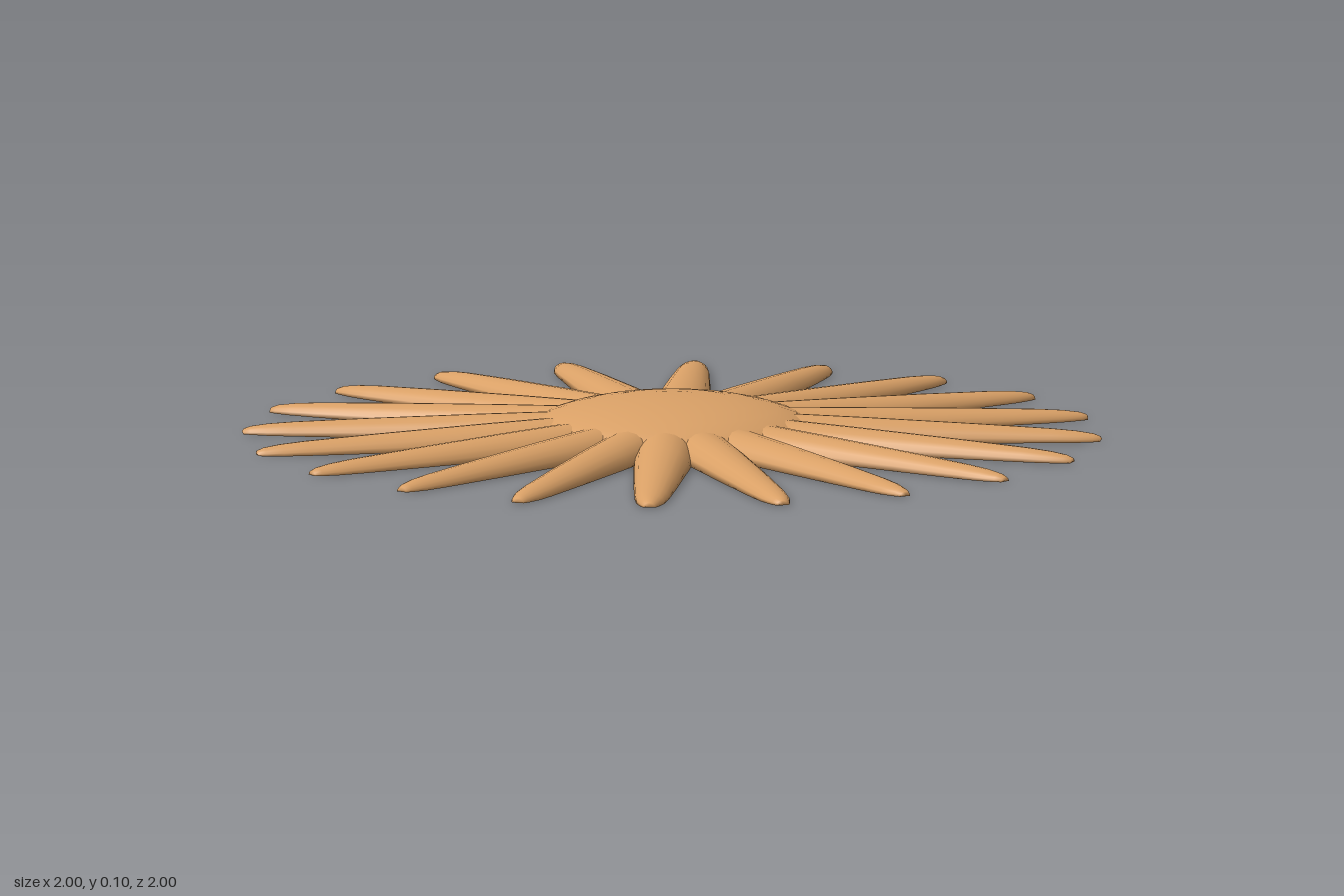
import * as THREE from 'three';

const PETALS = 20;
const ARC = 10; // segments over the rounded top of a petal

// Tapered petal along +z: rounded top, flat underside, blunt rounded tip
function petalGeometry() {
  // [distance from centre, half width, height]
  const rings = [
    [0.26, 0.072, 0.059], [0.45, 0.066, 0.051], [0.7, 0.052, 0.039], [0.88, 0.04, 0.029],
    [0.94, 0.033, 0.024], [0.98, 0.022, 0.018], [0.996, 0.014, 0.012],
  ];
  const base = 0.001;
  const positions = [];
  const index = [];
  const n = ARC + 2; // arc points plus one point under the middle
  for (const [z, w, h] of rings) {
    for (let i = 0; i <= ARC; i++) {
      const a = (i / ARC) * Math.PI;
      positions.push(Math.cos(a) * w, base + Math.sin(a) * (h - base), z);
    }
    positions.push(0, base, z);
  }
  for (let r = 0; r < rings.length - 1; r++) {
    for (let j = 0; j < n; j++) {
      const k = (j + 1) % n;
      const a = r * n + j, b = r * n + k, c = a + n, d = b + n;
      index.push(a, b, c, b, d, c);
    }
  }
  // close the tip
  const tip = positions.length / 3;
  const last = (rings.length - 1) * n;
  positions.push(0, 0.006, 1);
  for (let j = 0; j < n; j++) index.push(tip, last + j, last + ((j + 1) % n));

  const geometry = new THREE.BufferGeometry();
  geometry.setAttribute('position', new THREE.Float32BufferAttribute(positions, 3));
  geometry.setIndex(index);
  geometry.computeVertexNormals();
  return geometry;
}

export function createModel() {
  const model = new THREE.Group();
  model.name = 'flowerOrnament';
  const tan = new THREE.MeshStandardMaterial({ color: 0xd9a066 });
  tan.name = 'tan';

  // Flattened dome in the middle
  const domeGeometry = new THREE.SphereGeometry(0.35, 32, 8, 0, Math.PI * 2, 0, Math.PI / 2);
  domeGeometry.scale(1, 0.1 / 0.35, 1);
  const dome = new THREE.Mesh(domeGeometry, tan);
  dome.name = 'centreDome';
  model.add(dome);

  // Flat underside of the dome
  const underside = new THREE.Mesh(new THREE.CircleGeometry(0.35, 32).rotateX(Math.PI / 2), tan);
  underside.name = 'centreUnderside';
  model.add(underside);

  // Ring of petals
  const geometry = petalGeometry();
  const petals = new THREE.Group();
  petals.name = 'petals';
  for (let i = 0; i < PETALS; i++) {
    const petal = new THREE.Mesh(geometry, tan);
    petal.name = 'petal' + (i + 1);
    petal.rotation.y = (i / PETALS) * Math.PI * 2;
    petals.add(petal);
  }
  model.add(petals);
  return model;
}
